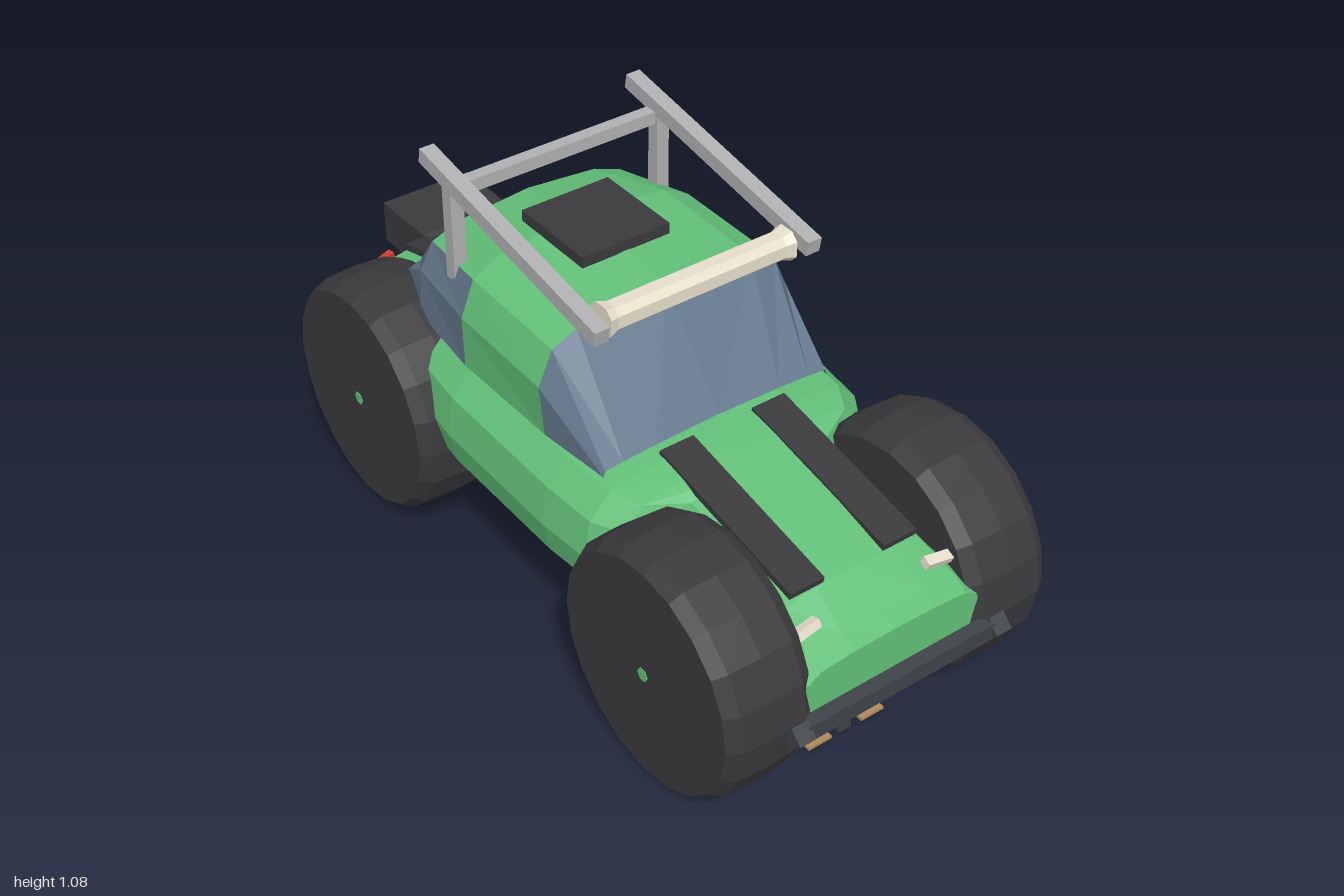
import * as THREE from 'three';

const mat = (color) => new THREE.MeshStandardMaterial({ color, flatShading: true, side: THREE.DoubleSide });
const green = mat(0x62c078), glass = mat(0x64788c), dark = mat(0x3a3a3d), steel = mat(0x3f4449);
const silver = mat(0xb0b0b2), cream = mat(0xe6dfcc), red = mat(0xd03a30), wood = mat(0xb08a5c);

// Surface through a row of sections with equal point counts
function loft(sections, caps = false) {
  const n = sections[0].length, pos = sections.flat(2), idx = [];
  for (let i = 0; i < sections.length - 1; i++)
    for (let j = 0; j < n - 1; j++) {
      const a = i * n + j, b = a + n;
      idx.push(a, a + 1, b, b, a + 1, b + 1);
    }
  if (caps) {
    const last = (sections.length - 1) * n;
    for (let j = 1; j < n - 1; j++) idx.push(0, j + 1, j, last, last + j, last + j + 1);
  }
  const g = new THREE.BufferGeometry();
  g.setAttribute('position', new THREE.Float32BufferAttribute(pos, 3));
  g.setIndex(idx);
  g.computeVertexNormals();
  return g;
}

export function createModel() {
  const model = new THREE.Group();
  model.name = 'buggy';
  const add = (name, geo, material, x = 0, y = 0, z = 0) => {
    const m = new THREE.Mesh(geo, material);
    m.name = name;
    m.position.set(x, y, z);
    model.add(m);
    return m;
  };
  const box = (name, material, w, h, d, x, y, z) => add(name, new THREE.BoxGeometry(w, h, d), material, x, y, z);
  // Rectangular bar running from p to q
  const beam = (name, material, p, q, w, h) => {
    const a = new THREE.Vector3(...p), b = new THREE.Vector3(...q);
    const m = box(name, material, w, h, a.distanceTo(b), 0, 0, 0);
    m.position.copy(a).lerp(b, 0.5);
    m.lookAt(b);
    return m;
  };

  // Body hull: one normalised half ring scaled along z [z, half width, bottom, top]
  const half = [[0, 0], [0.72, 0], [0.95, 0.22], [1, 0.47], [0.96, 0.76], [0.82, 0.93], [0.45, 0.99], [0, 1]];
  const ring = [...half, ...half.slice(0, -1).reverse().map(([x, t]) => [-x, t])];
  const stations = [
    [-0.88, 0.25, 0.31, 0.46], [-0.8, 0.265, 0.27, 0.545], [-0.64, 0.25, 0.255, 0.595],
    [-0.46, 0.27, 0.255, 0.605], [-0.36, 0.4, 0.255, 0.61], [-0.2, 0.42, 0.255, 0.615],
    [0.2, 0.42, 0.255, 0.61], [0.35, 0.405, 0.255, 0.6], [0.42, 0.36, 0.255, 0.59],
    [0.47, 0.24, 0.255, 0.58], [0.65, 0.225, 0.255, 0.545], [0.8, 0.235, 0.26, 0.505],
    [0.9, 0.26, 0.27, 0.45], [0.945, 0.255, 0.29, 0.43],
  ];
  add('body', loft(stations.map(([z, w, lo, hi]) => ring.map(([x, t]) => [x * w, lo + t * (hi - lo), z])), true), green);

  // Cabin: arches mirrored about x = 0
  const arch = (z, pts) => [
    ...pts.map(([x, y]) => [x, y, z]),
    ...pts.slice(0, -1).reverse().map(([x, y]) => [-x, y, z]),
  ];
  const A = arch(0.315, [[0.325, 0.59], [0.32, 0.605], [0.27, 0.61], [0.18, 0.615], [0, 0.62]]);
  const B = arch(0.11, [[0.345, 0.59], [0.357, 0.73], [0.318, 0.82], [0.25, 0.85], [0, 0.868]]);
  const C = arch(-0.22, [[0.35, 0.59], [0.352, 0.73], [0.315, 0.825], [0.24, 0.865], [0, 0.89]]);
  const D = arch(-0.46, [[0.325, 0.59], [0.318, 0.72], [0.28, 0.79], [0.2, 0.82], [0, 0.838]]);
  const E = arch(-0.615, [[0.27, 0.59], [0.27, 0.62], [0.23, 0.63], [0.16, 0.64], [0, 0.645]]);
  add('windscreen', loft([A, B]), glass);
  add('roof', loft([B, C]), green);
  add('rearRoof', loft([C.slice(2, 7), D.slice(2, 7)]), green);
  add('leftRearSideWindow', loft([C.slice(0, 3), D.slice(0, 3)]), glass);
  add('rightRearSideWindow', loft([C.slice(6), D.slice(6)]), glass);
  add('rearWindow', loft([D, E]), glass);
  box('roofHatch', dark, 0.25, 0.03, 0.25, 0, 0.891, -0.17);

  // Wheels with chamfered shoulders and a small hub
  const profile = [[0, -0.117], [0.292, -0.117], [0.313, -0.085], [0.318, 0], [0.313, 0.085], [0.292, 0.117], [0, 0.117]];
  const wheelGeo = new THREE.LatheGeometry(profile.map(([r, y]) => new THREE.Vector2(r, y)), 20);
  wheelGeo.rotateZ(Math.PI / 2);
  const hubGeo = new THREE.CylinderGeometry(0.018, 0.018, 0.02, 6).rotateZ(Math.PI / 2);
  for (const s of [1, -1]) {
    for (const [end, z] of [['front', 0.648], ['rear', -0.572]]) {
      add(end + 'Wheel', wheelGeo, dark, s * 0.343, 0.322, z);
      add(end + 'Hub', hubGeo, green, s * 0.452, 0.322, z);
    }

    // Bonnet and rear deck strips
    beam('bonnetStrip', dark, [s * 0.133, 0.601, 0.33], [s * 0.133, 0.512, 0.8], 0.095, 0.018);
    beam('rearDeckStrip', dark, [s * 0.133, 0.6, -0.64], [s * 0.133, 0.56, -0.78], 0.09, 0.018);

    // Lamps
    const lamp = beam('headlight', cream, [s * 0.155, 0.476, 0.862], [s * 0.24, 0.462, 0.866], 0.025, 0.022);
    lamp.rotateZ(0.4);
    beam('tailLight', red, [s * 0.19, 0.512, -0.835], [s * 0.245, 0.5, -0.825], 0.02, 0.025);

    // Roof frame rails and posts
    beam('frameRail', silver, [s * 0.297, 0.942, 0.275], [s * 0.297, 1.06, -0.43], 0.04, 0.04);
    box('framePost', silver, 0.036, 0.27, 0.036, s * 0.297, 0.905, -0.32);

    // Skids below the nose
    box('skid', wood, 0.068, 0.008, 0.26, s * 0.079, 0.014, 0.69);

    // Bumper end caps
    const cap = box('bumperEnd', steel, 0.045, 0.045, 0.045, s * 0.285, 0.302, 0.972);
    cap.rotation.x = Math.PI / 4;
    const rearCap = box('rearBumperEnd', steel, 0.04, 0.035, 0.035, s * 0.285, 0.32, -0.895);
    rearCap.rotation.x = Math.PI / 4;
  }
  box('frameCrossbar', silver, 0.58, 0.034, 0.034, 0, 1.012, -0.325);

  // Light bar with flared ends
  const lightSections = [[-0.26, 0.04], [-0.235, 0.032], [0.235, 0.032], [0.26, 0.04]].map(([x, r]) =>
    [[-1, -0.5], [-0.5, -1], [0.5, -1], [1, -0.5], [1, 0.5], [0.5, 1], [-0.5, 1], [-1, 0.5], [-1, -0.5]]
      .map(([z, y]) => [x, y * r, z * r]));
  add('lightBar', loft(lightSections, true), cream, 0, 0.94, 0.22);

  // Bumpers and front valance
  box('frontBumper', steel, 0.54, 0.045, 0.035, 0, 0.302, 0.97);
  box('rearBumper', steel, 0.58, 0.035, 0.03, 0, 0.32, -0.895);
  box('frontValance', dark, 0.45, 0.08, 0.06, 0, 0.258, 0.9);

  // Tow post under the nose
  box('towPost', steel, 0.034, 0.13, 0.14, 0, 0.072, 0.745);
  box('towHead', steel, 0.07, 0.065, 0.09, 0, 0.143, 0.765);

  // Rear storage box, tapered at both ends
  const crate = [[-0.735, 0.09, 0.5, 0.565], [-0.77, 0.13, 0.47, 0.583], [-0.965, 0.133, 0.465, 0.583], [-0.999, 0.115, 0.49, 0.56]];
  add('rearBox', loft(crate.map(([z, w, lo, hi]) =>
    [[-w, lo, z], [w, lo, z], [w, hi, z], [-w, hi, z], [-w, lo, z]]), true), dark);

  return model;
}
